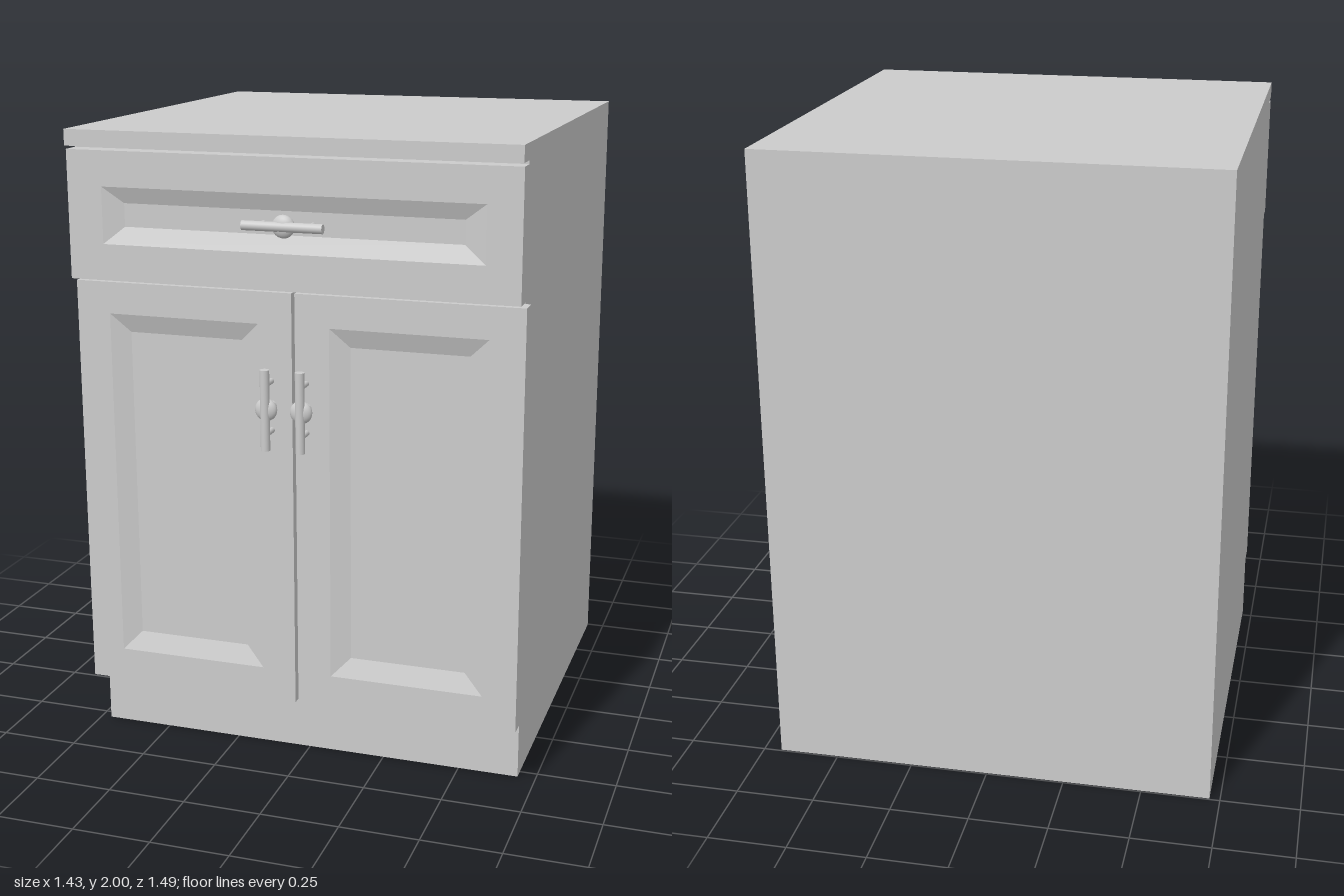
import * as THREE from 'three';

const material = new THREE.MeshStandardMaterial({ color: 0xcccccc });
const LEFT = 0.693, RIGHT = -0.717; // cabinet side planes

function addMesh(parent, name, geometry, x = 0, y = 0, z = 0) {
  const mesh = new THREE.Mesh(geometry, material);
  mesh.name = name;
  mesh.position.set(x, y, z);
  parent.add(mesh);
  return mesh;
}

// Slab with a bevelled recess; each rectangle is [x0, x1, y0, y1]
function panelGeometry(outline, recessOuter, recessInner, back, front, depth) {
  const loop = ([x0, x1, y0, y1], z) => [[x0, y0, z], [x1, y0, z], [x1, y1, z], [x0, y1, z]];
  const loops = [
    loop(outline, back), loop(outline, front),
    loop(recessOuter, front), loop(recessInner, front - depth),
  ];
  const positions = [];
  const quad = (a, b, c, d) => positions.push(...a, ...b, ...c, ...a, ...c, ...d);
  for (let k = 0; k < loops.length - 1; k++) {
    for (let i = 0; i < 4; i++) {
      const j = (i + 1) % 4;
      quad(loops[k][i], loops[k][j], loops[k + 1][j], loops[k + 1][i]);
    }
  }
  quad(...loops[3]);
  quad(...[...loops[0]].reverse());
  const geometry = new THREE.BufferGeometry();
  geometry.setAttribute('position', new THREE.Float32BufferAttribute(positions, 3));
  geometry.computeVertexNormals();
  return geometry;
}

// Bar pull, built upright with its bar axis at the group's origin
function createHandle(name) {
  const handle = new THREE.Group();
  handle.name = name;
  addMesh(handle, 'bar', new THREE.CylinderGeometry(0.0145, 0.0145, 0.25, 24));
  for (const side of [-1, 1]) {
    const post = addMesh(handle, 'post', new THREE.CylinderGeometry(0.009, 0.009, 0.065, 16), 0, side * 0.077, -0.0325);
    post.rotation.x = Math.PI / 2;
  }
  // central knob: flattened ball on a flared stem
  const knob = addMesh(handle, 'knob', new THREE.SphereGeometry(0.035, 24, 16), 0, 0, -0.01);
  knob.scale.z = 0.54;
  const stemProfile = [[0.018, -0.062], [0.011, -0.045], [0.009, -0.035], [0.013, -0.022]]
    .map(([r, h]) => new THREE.Vector2(r, h));
  const stem = addMesh(handle, 'stem', new THREE.LatheGeometry(stemProfile, 20));
  stem.rotation.x = Math.PI / 2;
  return handle;
}

export function createModel() {
  const model = new THREE.Group();
  model.name = 'cabinet';

  // Carcass: side profile (z, y) with toe kick and top lip, swept across the width
  const profile = new THREE.Shape([
    [-0.745, 0], [0.535, 0], [0.535, 0.22], [0.612, 0.22],
    [0.612, 1.95], [0.682, 1.95], [0.682, 2], [-0.745, 2],
  ].map(([z, y]) => new THREE.Vector2(-z, y)));
  const carcass = new THREE.ExtrudeGeometry(profile, { depth: LEFT - RIGHT, bevelEnabled: false });
  carcass.rotateY(Math.PI / 2);
  addMesh(model, 'carcass', carcass, RIGHT);

  // Drawer front
  addMesh(model, 'drawerFront', panelGeometry(
    [RIGHT, LEFT, 1.543, 1.939], [-0.605, 0.588, 1.655, 1.83], [-0.54, 0.522, 1.708, 1.78],
    0.612, 0.672, 0.02));

  // Pair of doors, offset slightly toward the model's left
  for (const [name, x] of [['rightDoor', -0.7], ['leftDoor', 0.01]]) {
    addMesh(model, name, panelGeometry(
      [0, 0.7, 0.22, 1.539], [0.108, 0.593, 0.325, 1.44], [0.168, 0.533, 0.387, 1.382],
      0.612, 0.672, 0.02), x);
  }

  // Handles
  const drawerHandle = createHandle('drawerHandle');
  drawerHandle.rotation.z = Math.PI / 2;
  drawerHandle.position.set(-0.013, 1.741, 0.706);
  model.add(drawerHandle);
  for (const [name, x] of [['rightDoorHandle', -0.066], ['leftDoorHandle', 0.045]]) {
    const handle = createHandle(name);
    handle.position.set(x, 1.19, 0.73);
    model.add(handle);
  }
  return model;
}
